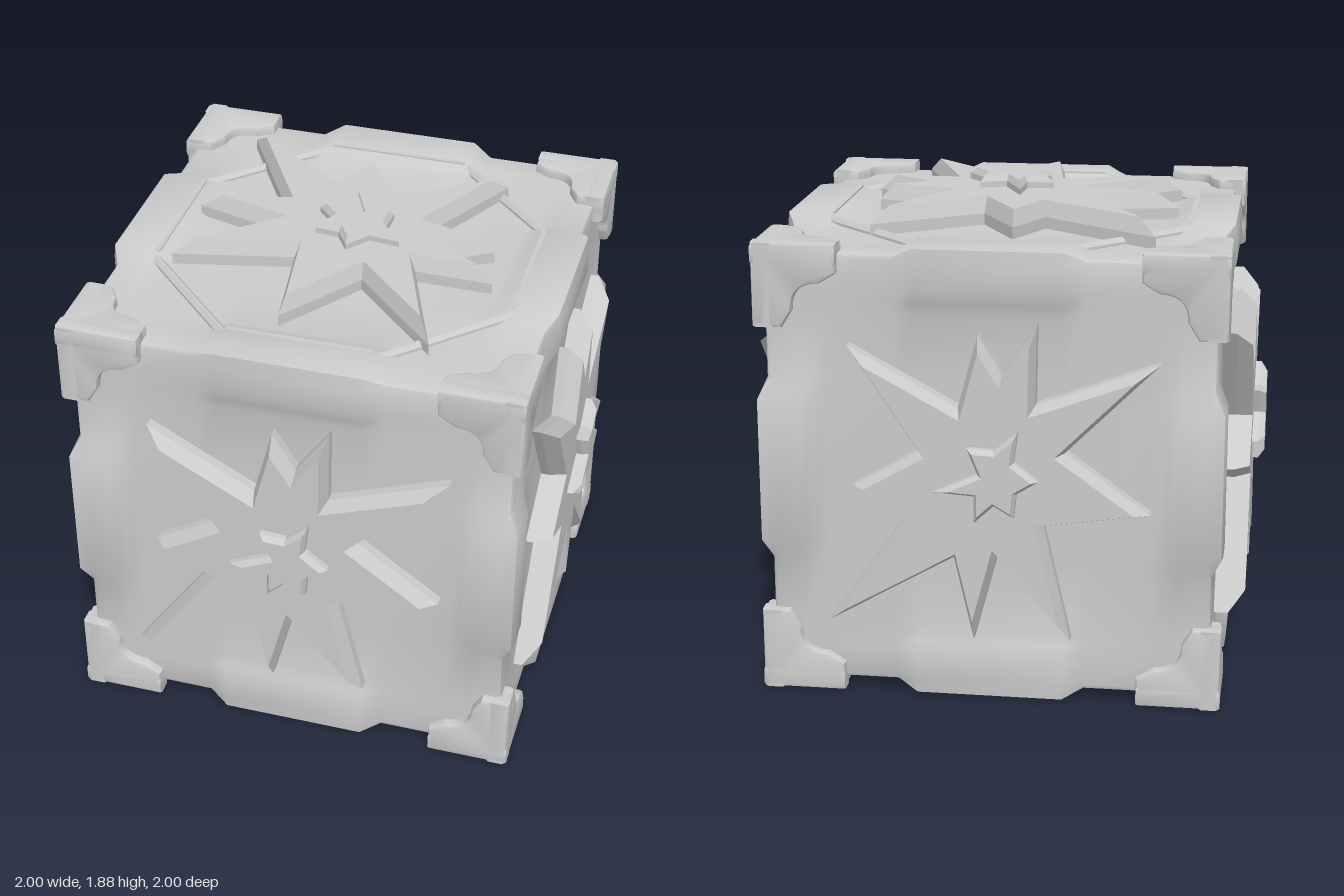
import * as THREE from 'three';
import { mergeGeometries, toCreasedNormals } from 'three/addons/utils/BufferGeometryUtils.js';

const MID = 0.885; // height of the cube's centre
const H = 0.845;   // half size of the plain body
const mat = new THREE.MeshStandardMaterial({ color: 0xcccccc });

// Star outlines on a face, clockwise, relative to the face centre
const BIG = [[-0.535, 0.51], [-0.12, 0.285], [-0.045, 0.565], [0.045, 0.42], [0.175, 0.605], [0.17, 0.305],
  [0.63, 0.475], [0.28, 0.125], [0.6, -0.105], [0.2, -0.165], [0.305, -0.625], [0.025, -0.295],
  [-0.065, -0.635], [-0.14, -0.305], [-0.625, -0.585], [-0.31, -0.135], [-0.52, -0.035], [-0.27, 0.11]];
const SMALL = [[-0.075, 0.155], [0.025, 0.15], [0.115, 0.225], [0.1, 0.105], [0.19, 0.035], [0.11, -0.015],
  [0.1, -0.11], [0.025, -0.065], [-0.05, -0.135], [-0.05, -0.03], [-0.2, -0.02], [-0.035, 0.055]];

function add(parent, name, geometry) {
  const m = new THREE.Mesh(geometry, mat);
  m.name = name;
  parent.add(m);
  return m;
}

// Inset a counter-clockwise outline by w with mitred corners
function inset(pts, w) {
  const n = pts.length;
  const normal = (a, b) => new THREE.Vector2(a.y - b.y, b.x - a.x).normalize();
  return pts.map((p, i) => {
    const n1 = normal(pts[(i + n - 1) % n], p), n2 = normal(p, pts[(i + 1) % n]);
    const k = w / (1 + n1.dot(n2));
    return new THREE.Vector2(p.x + (n1.x + n2.x) * k, p.y + (n1.y + n2.y) * k);
  });
}

// Straight-sided star with a mitred bevel on its front edge
function starGeometry(outline, z0, z1, z2, bevel) {
  const base = outline.map(([x, y]) => new THREE.Vector2(x, y)).reverse();
  const top = inset(base, bevel);
  const rings = [[base, z0], [base, z1], [top, z2]];
  const pos = [];
  const put = (ring, i) => pos.push(ring[0][i].x, ring[0][i].y, ring[1]);
  for (let r = 0; r < 2; r++) {
    for (let i = 0; i < base.length; i++) {
      const j = (i + 1) % base.length, a = rings[r], b = rings[r + 1];
      put(a, i); put(a, j); put(b, j);
      put(a, i); put(b, j); put(b, i);
    }
  }
  for (const tri of THREE.ShapeUtils.triangulateShape(top, [])) tri.forEach(i => put(rings[2], i));
  const g = new THREE.BufferGeometry();
  g.setAttribute('position', new THREE.Float32BufferAttribute(pos, 3));
  g.computeVertexNormals();
  return g;
}

// Cube whose edges swell in the middle and fade into the faces
function bodyGeometry() {
  const half = [0.28, 0.36, 0.62, 0.67, 0.72, 0.825, H];
  const knots = [...half.map(v => -v).reverse(), ...half];
  const n = knots.length - 1;
  const g = new THREE.BoxGeometry(n, n, n, n, n, n);
  const p = g.attributes.position;
  const step = THREE.MathUtils.smoothstep;
  for (let i = 0; i < p.count; i++) {
    const v = [p.getX(i), p.getY(i), p.getZ(i)].map(c => knots[Math.round(c + n / 2)]);
    const a = v.map(Math.abs);
    const onFace = a.map(c => c > H - 1e-4);
    const edges = onFace.filter(Boolean).length;
    const out = v.map((c, k) => {
      if (!onFace[k]) return c;
      const b = a[(k + 1) % 3], d = a[(k + 2) % 3];
      const swell = Math.max(step(b, 0.62, 0.72) * (1 - step(d, 0.28, 0.36)),
        step(d, 0.62, 0.72) * (1 - step(b, 0.28, 0.36)));
      return Math.sign(c) * (H + 0.038 * swell - (edges > 1 ? 0.006 : 0));
    });
    p.setXYZ(i, ...out);
  }
  return toCreasedNormals(g, 0.6);
}

// Corner guard: one notched plate on each of the three meeting faces
function cornerGeometry() {
  const C = 0.885, s = new THREE.Shape();
  s.moveTo(C, C);
  s.lineTo(0.565, C);
  s.lineTo(0.565, 0.775);
  s.lineTo(0.63, 0.735);
  s.quadraticCurveTo(0.735, 0.735, 0.735, 0.63);
  s.lineTo(0.775, 0.565);
  s.lineTo(C, 0.565);
  s.closePath();
  const plate = new THREE.ExtrudeGeometry(s, { depth: 0.055, bevelSize: 0.015, bevelThickness: 0.015,
    bevelOffset: -0.015, bevelSegments: 2, curveSegments: 8 });
  plate.translate(0, 0, 0.815);
  const axes = [new THREE.Vector3(1, 0, 0), new THREE.Vector3(0, 1, 0), new THREE.Vector3(0, 0, 1)];
  const plates = [0, 1, 2].map(k => plate.clone().applyMatrix4(
    new THREE.Matrix4().makeBasis(axes[k], axes[(k + 1) % 3], axes[(k + 2) % 3])));
  return toCreasedNormals(mergeGeometries(plates), 0.6);
}

// Octagon points: e is the flat's half length, r its distance from the centre
function octagon(e, r) {
  return [[e, r], [-e, r], [-r, e], [-r, -e], [-e, -r], [e, -r], [r, -e], [r, e]]
    .map(([x, y]) => new THREE.Vector2(x, y));
}

export function createModel() {
  const model = new THREE.Group();
  model.name = 'starCube';
  const block = new THREE.Group();
  block.name = 'block';
  block.position.set(0.01, MID, 0.005);
  model.add(block);
  add(block, 'body', bodyGeometry());

  // Eight corner guards
  const corner = cornerGeometry();
  for (let flip = 0; flip < 2; flip++) {
    for (let k = 0; k < 4; k++) {
      const c = add(block, 'cornerGuard', corner);
      c.rotation.order = 'YXZ';
      c.rotation.set(flip * Math.PI, k * Math.PI / 2, 0);
    }
  }

  // Octagonal rim with four narrow bars on the top
  const ring = new THREE.Shape(octagon(0.28, 0.745));
  ring.holes.push(new THREE.Path(octagon(0.275, 0.695)));
  const rim = add(block, 'topRim', new THREE.ExtrudeGeometry(ring, { depth: 0.03, bevelSize: 0.015,
    bevelThickness: 0.015, bevelOffset: -0.015, bevelSegments: 1 }));
  rim.rotation.x = -Math.PI / 2;
  rim.position.y = 0.825;
  for (let k = 0; k < 4; k++) {
    const bar = add(block, 'rimBar', new THREE.BoxGeometry(0.56, 0.05, 0.022).translate(0, 0.855, 0.705));
    bar.rotation.y = k * Math.PI / 2;
  }

  // Shallow slot frame underneath
  const slot = new THREE.Shape([[-0.1, -0.37], [0.1, -0.37], [0.1, 0.37], [-0.1, 0.37]].map(p => new THREE.Vector2(...p)));
  slot.holes.push(new THREE.Path([[-0.08, -0.35], [-0.08, 0.35], [0.08, 0.35], [0.08, -0.35]].map(p => new THREE.Vector2(...p))));
  const frame = add(block, 'slotFrame', new THREE.ExtrudeGeometry(slot, { depth: 0.03, bevelEnabled: false }));
  frame.rotation.x = Math.PI / 2;
  frame.position.set(0.53, -0.825, 0);

  // Star emblems on the four sides and the top
  const big = starGeometry(BIG, 0.82, 0.89, 0.952, 0.022);
  const small = starGeometry(SMALL, 0.94, 0.975, 1.0, 0.014);
  const q = Math.PI / 2;
  const faces = { front: [0, 0, 0], left: [0, q, 0], back: [0, 2 * q, 0], right: [0, -q, 0], top: [-q, 0, -q] };
  for (const [name, rot] of Object.entries(faces)) {
    const face = new THREE.Group();
    face.name = name + 'Stars';
    face.position.y = MID;
    face.rotation.set(...rot);
    add(face, 'largeStar', big);
    add(face, 'smallStar', small);
    model.add(face);
  }
  return model;
}
